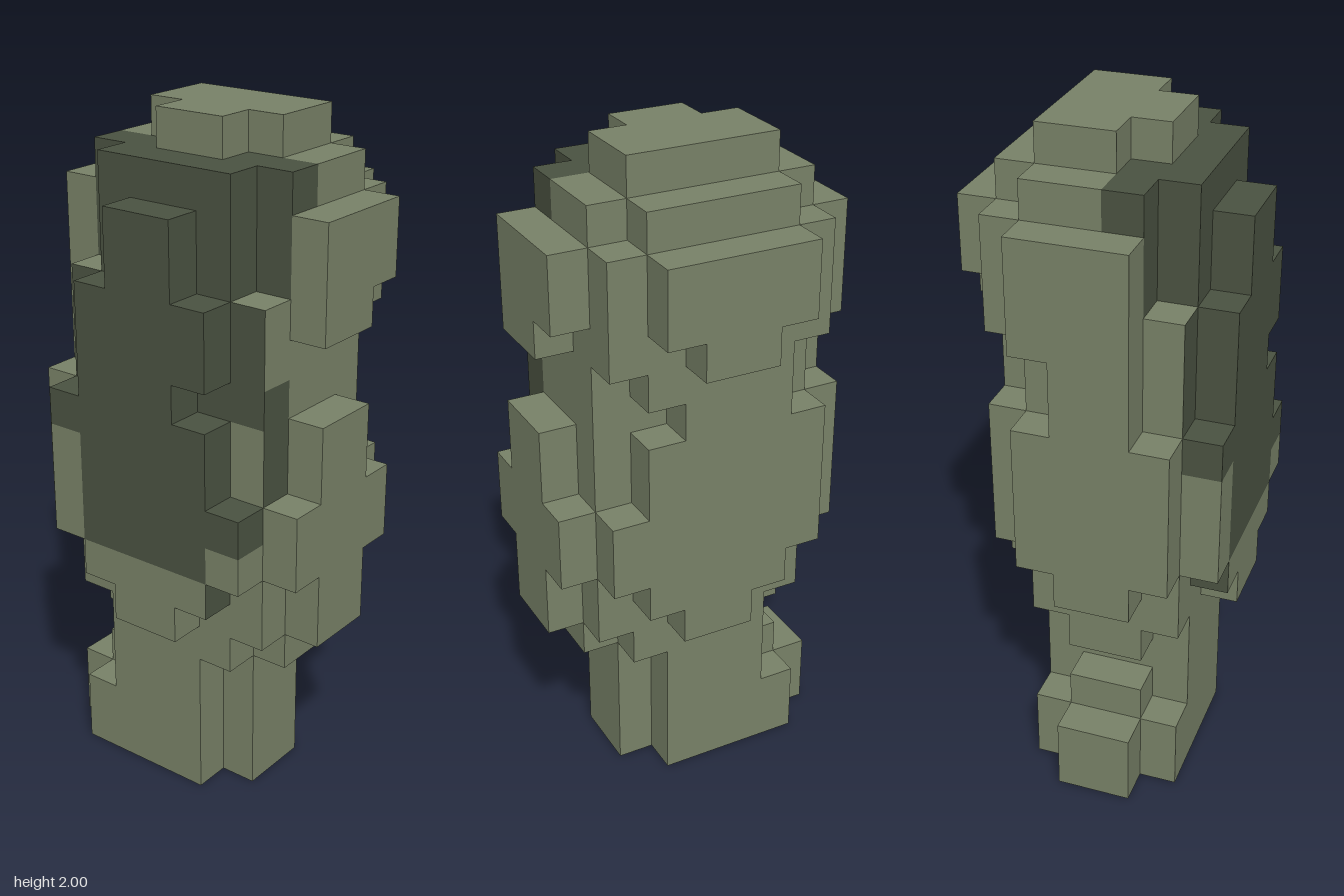
import * as THREE from 'three';

const U = 1 / 9; // edge of one block
const olive = new THREE.MeshStandardMaterial({ color: 0x788167 });
olive.name = 'olive';
const darkOlive = new THREE.MeshStandardMaterial({ color: 0x4a5241 });
darkOlive.name = 'darkOlive';

// Each part is a list of blocks [x0, x1, y0, y1, z0, z1] in grid steps
const PARTS = {
  foot: [
    [1, 5, 0, 2, 1, 5], [2, 4, 0, 2, 0, 6], [2, 4, 2, 3, 1, 2],
  ],
  leg: [
    [1, 5, 2, 4, 2, 5], [2, 4, 2, 4, 5, 6],
    [1, 5, 4, 5, 2, 6], [2, 4, 4, 5, 1, 7],
  ],
  core: [
    [1, 5, 5, 14, 1, 7], [2, 5, 14, 17, 1, 7], [1, 2, 14, 17, 2, 6],
  ],
  crown: [
    [3, 5, 17, 18, 2, 6], [2, 3, 17, 18, 3, 5],
  ],
  frontPlate: [
    [2, 4, 5, 11, 7, 8], [1, 5, 7, 9, 7, 8],
    [2, 4, 13, 16, 7, 8], [4, 5, 14, 16, 7, 8],
  ],
  backPlate: [
    [2, 4, 6, 16, 0, 1], [1, 5, 7, 11, 0, 1], [4, 5, 13, 16, 0, 1],
  ],
  leftPlate: [
    [5, 6, 5, 17, 3, 5], [5, 6, 6, 17, 2, 3],
    [5, 6, 6, 11, 5, 6], [5, 6, 12, 17, 5, 6],
    [5, 6, 7, 11, 1, 2], [5, 6, 13, 16, 1, 2],
    [5, 6, 7, 9, 6, 7], [5, 6, 13, 16, 6, 7],
  ],
  leftBump: [
    [6, 7, 13, 16, 3, 5], [6, 7, 14, 16, 2, 6],
  ],
  rightPlate: [
    [0, 1, 5, 16, 3, 5], [0, 1, 6, 14, 2, 3],
    [0, 1, 6, 11, 5, 6], [0, 1, 12, 14, 5, 6],
    [0, 1, 7, 11, 1, 2], [0, 1, 7, 9, 6, 7],
  ],
};

// Which block faces belong to the dark, worn patches
function isDark(i, j, k, dir) {
  if (dir === '-y') return j === 0 && i >= 2 && i <= 3 && k >= 1 && k <= 4;
  if (i === 0) {
    if (dir === '+y') return true;
    if (k === 6) return j >= 8;
    if (k === 1) return j >= 10;
    if (dir === '-x') return j >= 7;
    return j >= 6;
  }
  if (i === 1) {
    if (dir === '-x') return j >= 11;
    if (dir === '+y') return j === 16;
    if (dir === '+z') return j >= 14 || (k === 6 && j >= 9 && j <= 11);
    if (dir === '-z') return j >= 14;
  }
  if (i === 2 && j <= 16 && k >= 1 && k <= 6) {
    if (dir === '-x') return j >= 14;
    return j === 16;
  }
  return false;
}

// Face direction, outward normal and its two in-plane axes (a x b = normal)
const FACES = [
  ['+x', [1, 0, 0], [0, 1, 0], [0, 0, 1]],
  ['-x', [-1, 0, 0], [0, 0, 1], [0, 1, 0]],
  ['+y', [0, 1, 0], [0, 0, 1], [1, 0, 0]],
  ['-y', [0, -1, 0], [1, 0, 0], [0, 0, 1]],
  ['+z', [0, 0, 1], [1, 0, 0], [0, 1, 0]],
  ['-z', [0, 0, -1], [0, 1, 0], [1, 0, 0]],
];

const key = (i, j, k) => `${i},${j},${k}`;

function eachCell([x0, x1, y0, y1, z0, z1], fn) {
  for (let i = x0; i < x1; i++)
    for (let j = y0; j < y1; j++)
      for (let k = z0; k < z1; k++) fn(i, j, k);
}

// Exposed faces of one part, with the olive faces first and the dark ones after
function partGeometry(cells, solid) {
  const corners = [[], []];
  for (const [i, j, k] of cells) {
    for (const [dir, n, a, b] of FACES) {
      if (solid.has(key(i + n[0], j + n[1], k + n[2]))) continue;
      const out = corners[isDark(i, j, k, dir) ? 1 : 0];
      const origin = [i, j, k].map((v, t) => v + Math.max(n[t], 0));
      for (const [s, t] of [[0, 0], [1, 0], [1, 1], [0, 0], [1, 1], [0, 1]]) {
        const p = origin.map((v, c) => v + a[c] * s + b[c] * t);
        out.push((p[0] - 3.5) * U, p[1] * U, (p[2] - 4) * U);
      }
    }
  }
  const geo = new THREE.BufferGeometry();
  geo.setAttribute('position', new THREE.Float32BufferAttribute(corners.flat(), 3));
  const first = corners[0].length / 3;
  geo.addGroup(0, first, 0);
  if (corners[1].length) geo.addGroup(first, corners[1].length / 3, 1);
  geo.computeVertexNormals();
  return geo;
}

export function createModel() {
  const group = new THREE.Group();
  group.name = 'blockFigure';

  // Assign every cell to the first part that claims it
  const solid = new Set();
  const owned = {};
  for (const [name, blocks] of Object.entries(PARTS)) {
    owned[name] = [];
    for (const block of blocks) {
      eachCell(block, (i, j, k) => {
        if (solid.has(key(i, j, k))) return;
        solid.add(key(i, j, k));
        owned[name].push([i, j, k]);
      });
    }
  }

  for (const [name, cells] of Object.entries(owned)) {
    const mesh = new THREE.Mesh(partGeometry(cells, solid), [olive, darkOlive]);
    mesh.name = name;
    group.add(mesh);
  }
  return group;
}
